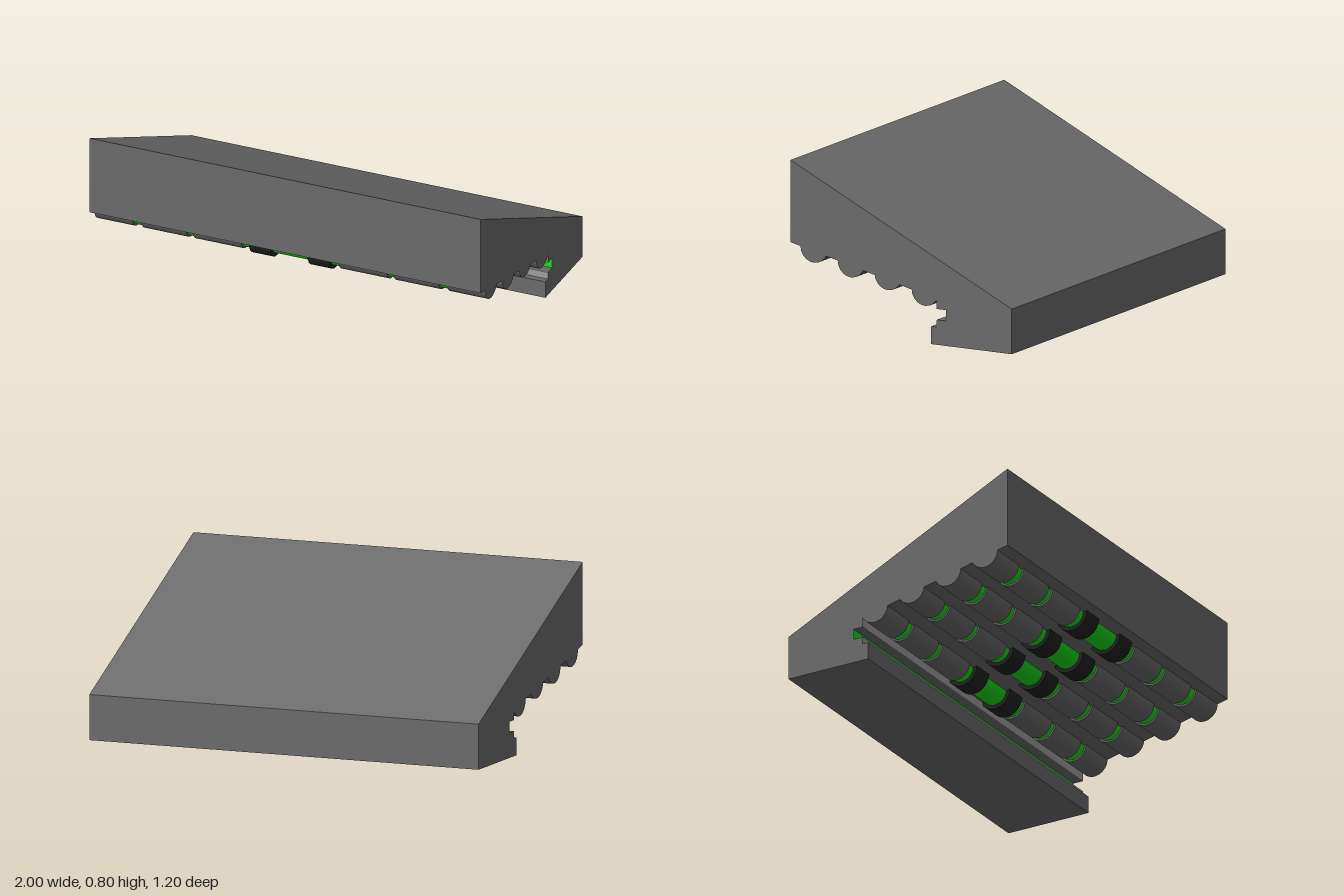
import * as THREE from 'three';

const material = (color) => new THREE.MeshStandardMaterial({ color });

export function createModel() {
  const model = new THREE.Group();
  const grey = material(0x6b6b6b), lightGrey = material(0xa0a0a0);
  const black = material(0x222222), green = material(0x18e018);

  // Wedge body: side profile in (z, y), extruded across the full width
  const profile = [
    [0.6, 0.8], [0.6, 0.405], [-0.195, 0.218], [-0.195, 0.172], [-0.245, 0.172],
    [-0.245, 0.12], [-0.195, 0.12], [-0.195, 0.085], [-0.163, 0.085],
    [-0.163, 0], [-0.6, 0], [-0.6, 0.217],
  ];
  const shape = new THREE.Shape(profile.map(([z, y]) => new THREE.Vector2(-z, y)));
  const bodyGeometry = new THREE.ExtrudeGeometry(shape, { depth: 2, bevelEnabled: false });
  bodyGeometry.translate(0, 0, -1).rotateY(Math.PI / 2);
  const body = new THREE.Mesh(bodyGeometry, grey);
  body.name = 'wedgeBody';
  model.add(body);

  // Coloured strips along the slot and its lips
  const addStrip = (name, y0, y1, z, mat) => {
    const strip = new THREE.Mesh(new THREE.BoxGeometry(2, y1 - y0, 0.004), mat);
    strip.position.set(0, (y0 + y1) / 2, z);
    strip.name = name;
    model.add(strip);
  };
  addStrip('slotBack', 0.12, 0.172, -0.245, green);
  addStrip('lowerLip', 0.085, 0.12, -0.195, lightGrey);
  addStrip('upperLip', 0.172, 0.217, -0.195, lightGrey);

  // Roller sections for the +x half: start, end, radius, material
  const sections = [
    [0.095, 0.205, 0.083, black],
    [0.205, 0.25, 0.064, green],
    [0.25, 0.495, 0.073, grey],
    [0.495, 0.53, 0.064, green],
    [0.53, 0.76, 0.073, grey],
    [0.76, 0.805, 0.064, green],
    [0.805, 1, 0.073, grey],
  ];
  const names = new Map([[black, 'rollerCollar'], [green, 'rollerBand'], [grey, 'rollerSleeve']]);
  const addSection = (roller, x0, x1, radius, mat) => {
    const geometry = new THREE.CylinderGeometry(radius, radius, x1 - x0, 20);
    const mesh = new THREE.Mesh(geometry.rotateZ(Math.PI / 2), mat);
    mesh.position.x = (x0 + x1) / 2;
    mesh.name = names.get(mat);
    roller.add(mesh);
  };

  // Four parallel rollers half sunk into the sloping underside
  [[0.473, 0.393], [0.271, 0.345], [0.071, 0.306], [-0.13, 0.253]].forEach(([z, y], i) => {
    const roller = new THREE.Group();
    roller.name = `roller${i + 1}`;
    roller.position.set(0, y, z);
    addSection(roller, -0.095, 0.095, 0.064, green);
    for (const [x0, x1, radius, mat] of sections) {
      addSection(roller, x0, x1, radius, mat);
      addSection(roller, -x1, -x0, radius, mat);
    }
    model.add(roller);
  });
  return model;
}
